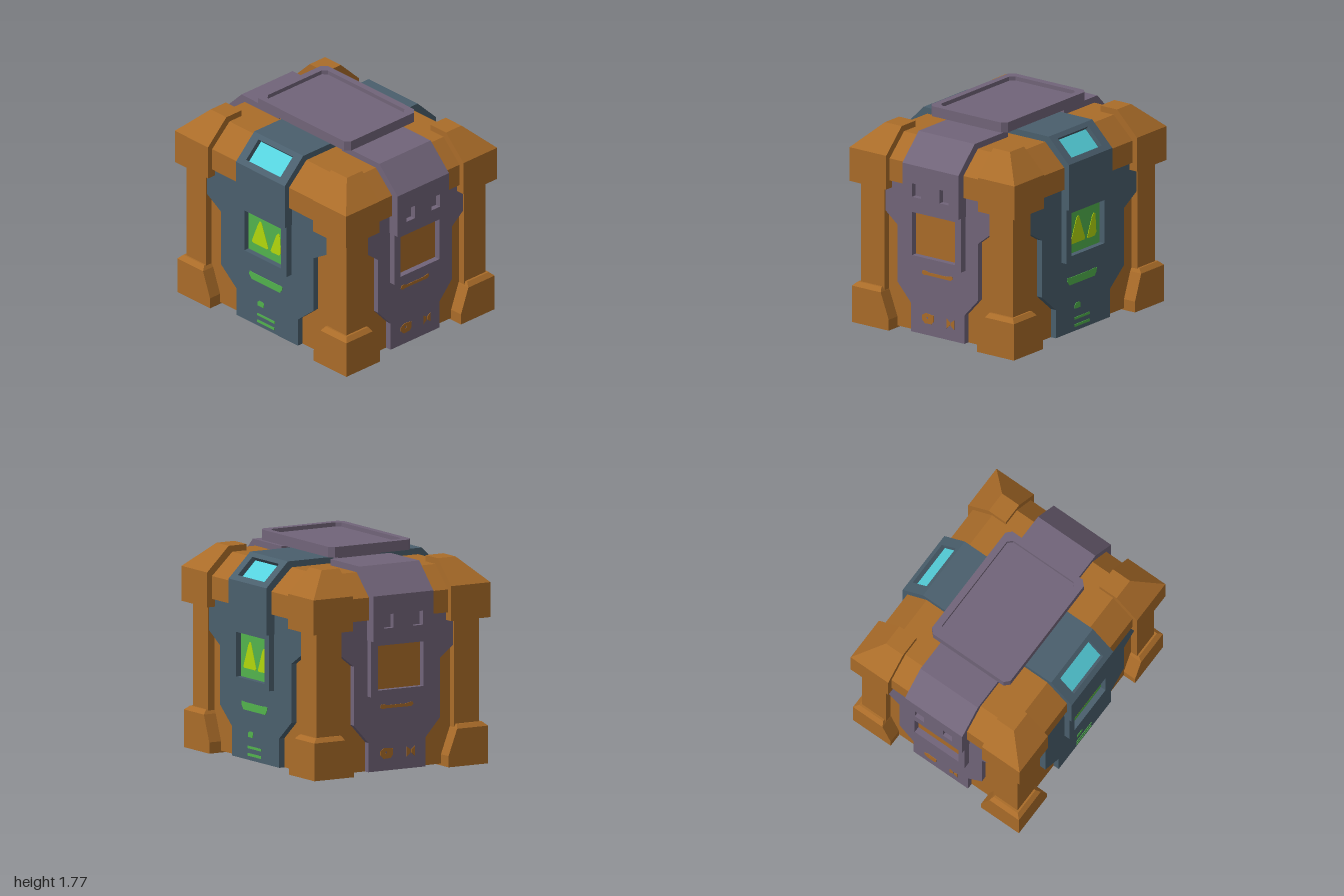
import * as THREE from 'three';

const mat = (name, color) => {
  const m = new THREE.MeshStandardMaterial({ color });
  m.name = name;
  return m;
};

export function createModel() {
  const orange = mat('orange', 0xaa6c29);
  const slate = mat('slate', 0x4a5f6d);
  const purple = mat('purple', 0x716479);
  const cyan = mat('cyan', 0x55d1dd);
  const green = mat('green', 0x52b34d);
  const lime = mat('lime', 0xb2d80c);

  const model = new THREE.Group();
  model.name = 'crate';

  const add = (parent, name, geo, material) => {
    const mesh = new THREE.Mesh(geo, material);
    mesh.name = name;
    parent.add(mesh);
  };
  const shapeOf = (pts, holes = []) => {
    const s = new THREE.Shape(pts.map(p => new THREE.Vector2(...p)));
    for (const h of holes) s.holes.push(new THREE.Path(h.map(p => new THREE.Vector2(...p))));
    return s;
  };
  const rect = (x0, x1, y0, y1) => [[x0, y0], [x1, y0], [x1, y1], [x0, y1]];
  const chamfered = (x, y, c) => [[x - c, -y], [x, c - y], [x, y - c], [x - c, y],
    [c - x, y], [-x, y - c], [-x, c - y], [c - x, -y]];
  // flat plate between z0 and z1
  const plate = (pts, z0, z1, holes) =>
    new THREE.ExtrudeGeometry(shapeOf(pts, holes), { depth: z1 - z0, bevelEnabled: false }).translate(0, 0, z0);

  // flat-sided solid through stacked rectangles [y, x0, x1, z0, z1]
  const loft = levels => {
    const rings = levels.map(([y, x0, x1, z0, z1]) => [[x0, y, z1], [x1, y, z1], [x1, y, z0], [x0, y, z0]]);
    const pos = [];
    const quad = (a, b, c, d) => pos.push(...a, ...b, ...c, ...a, ...c, ...d);
    for (let i = 0; i < rings.length - 1; i++) {
      for (let k = 0; k < 4; k++) {
        const n = (k + 1) % 4;
        quad(rings[i][k], rings[i][n], rings[i + 1][n], rings[i + 1][k]);
      }
    }
    const [b, t] = [rings[0], rings[rings.length - 1]];
    quad(b[3], b[2], b[1], b[0]);
    quad(t[0], t[1], t[2], t[3]);
    const g = new THREE.BufferGeometry();
    g.setAttribute('position', new THREE.Float32BufferAttribute(pos, 3));
    g.computeVertexNormals();
    return g;
  };

  // core body and the sloped upper ring
  add(model, 'body', loft([[0.015, -0.855, 0.855, -0.7, 0.7], [1.3, -0.855, 0.855, -0.7, 0.7]]), orange);
  add(model, 'upperRing', loft([
    [1.237, -0.935, 0.935, -0.78, 0.78],
    [1.42, -0.935, 0.935, -0.78, 0.78],
    [1.598, -0.75, 0.75, -0.59, 0.59],
  ]), orange);

  // four corners: foot, pillar and cap
  const cornerParts = {
    Foot: [[0, 0.593, 0.968, 0.442, 0.81], [0.09, 0.593, 0.968, 0.442, 0.81],
      [0.302, 0.673, 0.968, 0.522, 0.81], [0.335, 0.695, 0.935, 0.54, 0.775]],
    Pillar: [[0.2, 0.69, 0.917, 0.525, 0.76], [1.25, 0.69, 0.917, 0.525, 0.76]],
    Cap: [[1.172, 0.6, 0.98, 0.458, 0.825], [1.452, 0.6, 0.98, 0.458, 0.825],
      [1.648, 0.6, 0.78, 0.458, 0.625]],
  };
  const flip = (a, b, s) => (s > 0 ? [a, b] : [-b, -a]);
  for (const sx of [1, -1]) {
    for (const sz of [1, -1]) {
      for (const [name, levels] of Object.entries(cornerParts)) {
        const geo = loft(levels.map(([y, a, b, c, d]) => [y, ...flip(a, b, sx), ...flip(c, d, sz)]));
        add(model, 'corner' + name, geo, orange);
      }
    }
  }

  // one face of the crate, built facing +z, then turned into place
  const buildFace = (name, turn, o) => {
    const g = new THREE.Group();
    g.name = name;
    g.rotation.y = turn;
    model.add(g);

    // stepped panel standing just proud of the body
    const half = [[o.low, 0.015], [o.low, 0.25], [o.mid, 0.4], [o.mid, 0.873], [o.high, 0.97], [o.high, 1.26]];
    const mirrored = half.map(([x, y]) => [-x, y]).reverse();
    add(g, 'panel', plate([...half, ...mirrored], o.panel - 0.05, o.panel), o.color);

    // frame around the screen
    add(g, 'frame', plate(rect(-0.275, 0.275, 0.622, 1.08), o.panel - 0.02, o.frame,
      [rect(-o.open, o.open, 0.672, 1.03)]), o.color);
    add(g, 'screen', plate(rect(-0.24, 0.24, 0.65, 1.05), o.panel - 0.003, o.panel + 0.004), o.screenColor);

    // wrap-over band: solid core notched behind a holed slab
    const outer = [[o.band, 1.072], [o.band, o.crease], [o.slope, 1.648]];
    const A = outer[o.slab], B = outer[o.slab + 1];
    const du = B[0] - A[0], dv = B[1] - A[1], len = Math.hypot(du, dv), d = 0.045;
    const inward = ([u, v]) => [u - d * dv / len, v + d * du / len];
    outer.splice(o.slab + 1, 0, inward(A), inward(B));
    const back = o.panel - 0.15;
    const profile = [[back, 1.072], ...outer, [o.inner, 1.648], [o.inner, 1.5], [back, 1.5]];
    add(g, 'bandCore', plate(profile, -0.28, 0.28).rotateY(-Math.PI / 2), o.color);
    const place = geo => geo.rotateX(Math.atan2(du, dv)).translate(0, A[1], A[0]);
    add(g, 'bandSlab', place(plate(rect(-0.28, 0.28, 0, len), -d, 0, o.holes)), o.color);
    if (o.window) add(g, 'window', place(plate(o.holes[0], -d, -d + 0.004)), cyan);

    // painted marks, on the screen or on the panel
    for (const [pts, material, lift, holes] of o.marks) {
      const z = o.panel + lift;
      add(g, 'paintedMark', plate(pts, z - 0.002, z + 0.004, holes), material);
    }
  };

  const front = {
    color: slate, screenColor: green, panel: 0.75, frame: 0.8, band: 0.826, crease: 1.45, slope: 0.625, inner: 0.2,
    low: 0.35, mid: 0.53, high: 0.69, open: 0.21,
    slab: 1, holes: [rect(-0.2, 0.193, 0.05, 0.24)], window: true,
    marks: [
      [[[-0.17, 0.757], [-0.155, 0.747], [0.008, 0.747], [0.018, 0.762], [-0.06, 0.962], [-0.08, 0.964], [-0.1, 0.93]], lime, 0.004],
      [[[0.045, 0.752], [0.06, 0.743], [0.142, 0.746], [0.162, 0.772], [0.15, 0.93], [0.13, 0.938], [0.11, 0.915]], lime, 0.004],
      [[[-0.205, 0.447], [-0.175, 0.41], [0.145, 0.41], [0.17, 0.44], [0.175, 0.472], [0.14, 0.476], [0.11, 0.472],
        [-0.16, 0.472], [-0.2, 0.476]], green, 0],
      [[[-0.107, 0.2], [-0.04, 0.198], [-0.035, 0.235], [-0.05, 0.246], [-0.09, 0.246], [-0.107, 0.23]], green, 0],
      [rect(-0.112, 0.088, 0.108, 0.128), green, 0],
      [rect(-0.112, 0.083, 0.048, 0.07), green, 0],
    ],
  };
  const tie = [[0.09, 0.11], [0.124, 0.14], [0.124, 0.165], [0.09, 0.19]];
  const side = {
    color: purple, screenColor: orange, panel: 0.905, frame: 0.96, band: 1.0, crease: 1.437, slope: 0.79, inner: 0.36,
    low: 0.267, mid: 0.403, high: 0.525, open: 0.213,
    slab: 0, holes: [rect(-0.183, -0.093, 0.1, 0.212), rect(0.091, 0.181, 0.1, 0.212)],
    marks: [
      [[[-0.157, 0.52], [-0.14, 0.51], [-0.1, 0.514], [0.13, 0.512], [0.152, 0.528], [0.145, 0.548], [0.12, 0.546],
        [0.09, 0.538], [-0.09, 0.538], [-0.12, 0.548], [-0.15, 0.546]], orange, 0],
      [[[-0.157, 0.14], [-0.127, 0.11], [-0.06, 0.113], [-0.04, 0.138], [-0.04, 0.188], [-0.12, 0.197], [-0.157, 0.173]], orange, 0,
        [rect(-0.112, -0.094, 0.15, 0.168)]],
      [tie, orange, 0],
      [tie.map(([x, y]) => [0.255 - x, y]).reverse(), orange, 0],
    ],
  };
  buildFace('frontFace', 0, front);
  buildFace('backFace', Math.PI, front);
  buildFace('leftFace', Math.PI / 2, side);
  buildFace('rightFace', -Math.PI / 2, side);

  // lid: pedestal, tray floor and raised rim
  const lid = new THREE.Group();
  lid.name = 'lid';
  model.add(lid);
  add(lid, 'pedestal', loft([[1.55, -0.34, 0.34, -0.195, 0.195], [1.71, -0.34, 0.34, -0.195, 0.195]]), purple);
  const outline = chamfered(0.533, 0.383, 0.04);
  const opening = chamfered(0.473, 0.328, 0.035);
  add(lid, 'lidFloor', plate(outline, 1.69, 1.74).rotateX(-Math.PI / 2), purple);
  add(lid, 'lidRim', plate(outline, 1.74, 1.773, [opening]).rotateX(-Math.PI / 2), purple);

  return model;
}
